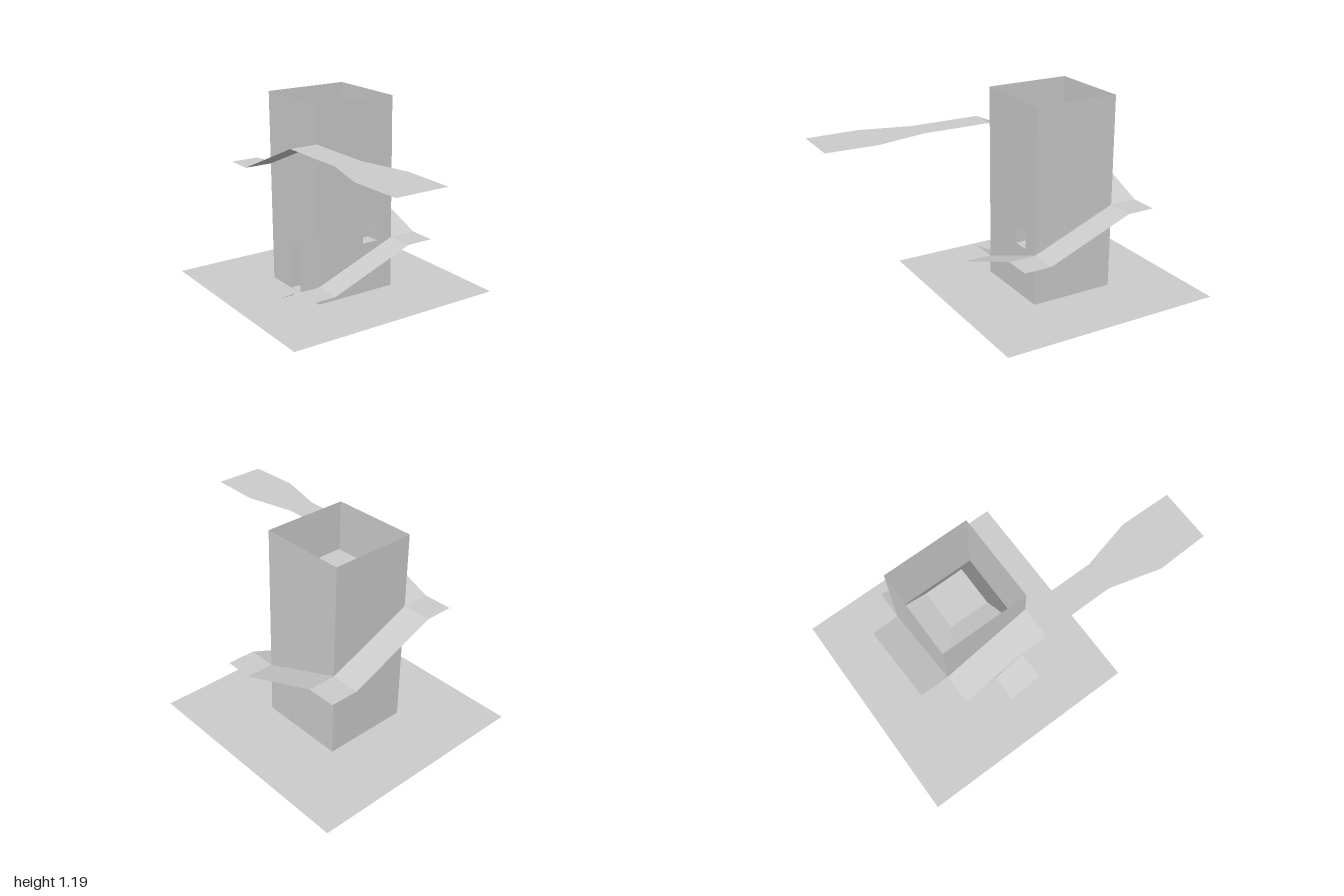
import * as THREE from 'three';

const W = 0.262;        // half width of the tower
const R = 0.435;        // outer half width of the ramp
const CZ = -0.305;      // tower centre in z
const H = 1.19;         // tower height

const material = new THREE.MeshStandardMaterial({
  color: 0xcccccc, flatShading: true, side: THREE.DoubleSide,
});

function addMesh(parent, name, geometry) {
  const mesh = new THREE.Mesh(geometry, material);
  mesh.name = name;
  parent.add(mesh);
  return mesh;
}

// Strip of panels between successive cross-section pairs [left, right]
function strip(sections) {
  const pos = [];
  for (let i = 0; i < sections.length - 1; i++) {
    const [a, b] = sections[i], [d, c] = sections[i + 1];
    pos.push(...a, ...b, ...c, ...a, ...c, ...d);
  }
  const g = new THREE.BufferGeometry();
  g.setAttribute('position', new THREE.Float32BufferAttribute(pos, 3));
  g.computeVertexNormals();
  return g;
}

// Wall sheet with an optional rectangular opening [x0, x1, y0, y1]
function wallGeometry(opening) {
  const rect = (T, x0, x1, y0, y1) => new T([
    [x0, y0], [x1, y0], [x1, y1], [x0, y1],
  ].map(([x, y]) => new THREE.Vector2(x, y)));
  const shape = rect(THREE.Shape, -W, W, 0, H);
  if (opening) shape.holes.push(rect(THREE.Path, ...opening));
  return new THREE.ShapeGeometry(shape);
}

// Recess behind an opening: four reveals and a back panel
function nicheGeometry([x0, x1, y0, y1], depth) {
  const g = new THREE.BoxGeometry(x1 - x0, y1 - y0, depth);
  const keep = [...g.index.array].filter((_, i) => i < 24 || i >= 30); // drop the +z face
  g.setIndex(keep);
  g.clearGroups();
  return g.translate((x0 + x1) / 2, (y0 + y1) / 2, -depth / 2);
}

export function createModel() {
  const model = new THREE.Group();
  model.name = 'rampTower';

  // Ground sheet
  const ground = addMesh(model, 'ground', new THREE.PlaneGeometry(1.395, 1.39).rotateX(-Math.PI / 2));
  ground.position.set(0, 0, CZ);

  // Tower walls, with a window in the front and a doorway at the -x side
  const tower = new THREE.Group();
  tower.name = 'tower';
  tower.position.z = CZ;
  model.add(tower);
  const walls = [
    ['frontWall', 0, [0.052, 0.157, 0.315, 0.42], 'windowNiche'],
    ['leftWall', Math.PI / 2, null],
    ['backWall', Math.PI, null],
    ['rightWall', -Math.PI / 2, [-0.052, 0.052, 0.002, 0.315], 'doorNiche'],
  ];
  for (const [name, angle, opening, nicheName] of walls) {
    const side = new THREE.Group();
    side.name = name + 'Group';
    side.rotation.y = angle;
    tower.add(side);
    addMesh(side, name, wallGeometry(opening)).position.z = W;
    if (opening) addMesh(side, nicheName, nicheGeometry(opening, 0.09)).position.z = W;
  }

  // Tapered block sunk inside the open top
  const y0 = 0.63, y1 = 1.0;
  const core = addMesh(tower, 'taperedCore',
    new THREE.CylinderGeometry(0.117 * Math.SQRT2, 0.26 * Math.SQRT2, y1 - y0, 4).rotateY(Math.PI / 4));
  core.position.y = (y0 + y1) / 2;

  // Spiral ramp: a flat landing at each corner, a sloping flight along each side
  const ramp = new THREE.Group();
  ramp.name = 'spiralRamp';
  model.add(ramp);
  const corners = [[-1, 1, 0.11], [1, 1, 0.315], [1, -1, 0.525], [-1, -1, 0.745]];
  const at = (x, y, z) => [x, y, CZ + z];
  corners.forEach(([sx, sz, y], i) => {
    addMesh(ramp, 'landing' + (i + 1), new THREE.PlaneGeometry(R - W, R - W).rotateX(-Math.PI / 2))
      .position.set(sx * (R + W) / 2, y, CZ + sz * (R + W) / 2);
  });
  const flight = (name, a, b) => addMesh(ramp, name, strip([a, b]));
  flight('entryFlight',
    [at(-W, 0.003, 0.055), at(-R, 0.003, 0.055)], [at(-W, 0.11, W), at(-R, 0.11, W)]);
  flight('frontFlight',
    [at(-W, 0.11, W), at(-W, 0.11, R)], [at(W, 0.315, W), at(W, 0.315, R)]);
  flight('leftFlight',
    [at(W, 0.315, W), at(R, 0.315, W)], [at(W, 0.525, -W), at(R, 0.525, -W)]);
  flight('backFlight',
    [at(W, 0.525, -W), at(W, 0.525, -R)], [at(-W, 0.745, -W), at(-W, 0.745, -R)]);
  flight('rightFlight',
    [at(-W, 0.745, -W), at(-R, 0.745, -W)], [at(-W, 0.97, W), at(-R, 0.97, W)]);

  // Level walkway reaching out to the front, widening at its end
  const walkway = [[-0.043, -R, -W], [0.39, -R, -W], [0.69, -0.515, -0.188], [1.0, -0.507, -0.195]];
  addMesh(model, 'walkway', strip(walkway.map(([z, xa, xb]) => [[xb, 0.97, z], [xa, 0.97, z]]).reverse()));

  return model;
}
